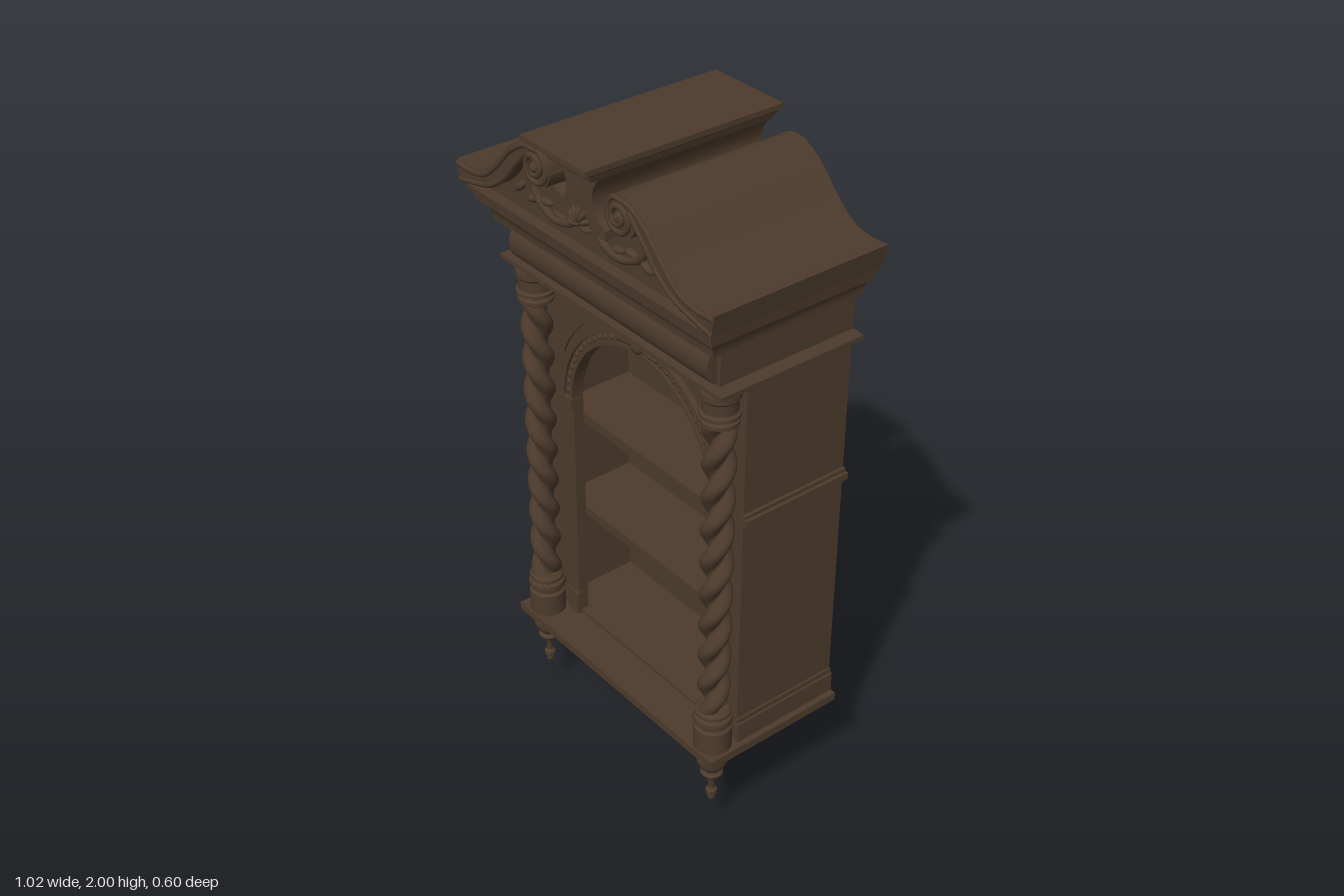
import * as THREE from 'three';
import { toCreasedNormals } from 'three/addons/utils/BufferGeometryUtils.js';

const BACK = -0.3;

export function createModel() {
  const group = new THREE.Group();
  const wood = new THREE.MeshStandardMaterial({ color: 0x4d3b2c, side: THREE.DoubleSide });
  wood.name = 'dark walnut';

  const add = (name, geo, x = 0, y = 0, z = 0) => {
    const m = new THREE.Mesh(geo, wood);
    m.name = name;
    m.position.set(x, y, z);
    group.add(m);
    return m;
  };
  // Box given by its limits on each axis
  const box = (name, x0, x1, y0, y1, z0, z1) =>
    add(name, new THREE.BoxGeometry(x1 - x0, y1 - y0, z1 - z0), (x0 + x1) / 2, (y0 + y1) / 2, (z0 + z1) / 2);
  const pair = (name, x0, x1, ...r) => { box(name, x0, x1, ...r); box(name, -x1, -x0, ...r); };
  const plate = (name, shape, z0, z1) => {
    const g = new THREE.ExtrudeGeometry(shape, { depth: z1 - z0, bevelEnabled: false, curveSegments: 32 });
    return add(name, toCreasedNormals(g, 0.6), 0, 0, z0);
  };
  const vecs = (pts, s = 1) => pts.map(([x, y]) => new THREE.Vector2(x * s, y));
  const lathe = (name, pts, x, z) =>
    add(name, toCreasedNormals(new THREE.LatheGeometry(vecs(pts), 24), 0.6), x, 0, z);
  const tube = (name, pts, r, n = 40) =>
    add(name, new THREE.TubeGeometry(new THREE.CatmullRomCurve3(pts.map(p => new THREE.Vector3(...p))), n, r, 8));
  const leaf = (name, x, y, z, sx, sy, sz, turn = 0) => {
    const m = add(name, new THREE.SphereGeometry(1, 12, 8), x, y, z);
    m.scale.set(sx, sy, sz);
    m.rotation.z = turn;
  };

  // Mitred moulding round the right, front and left sides; profile is [half width, y]
  const moulding = (name, profile, setback) => {
    const pos = [];
    const ring = ([w, y]) => [[-w, y, BACK], [-w, y, w - setback], [w, y, w - setback], [w, y, BACK]];
    for (let i = 0; i < profile.length - 1; i++) {
      const lo = ring(profile[i]), up = ring(profile[i + 1]);
      for (let s = 0; s < 3; s++) {
        pos.push(...lo[s], ...lo[s + 1], ...up[s + 1], ...lo[s], ...up[s + 1], ...up[s]);
      }
    }
    const g = new THREE.BufferGeometry();
    g.setAttribute('position', new THREE.Float32BufferAttribute(pos, 3));
    add(name, toCreasedNormals(g, 0.6));
  };

  // Hanging bracket and base board
  moulding('hangingBracket', [[0, 0.003], [0.03, 0.01], [0.05, 0.028], [0.085, 0.033], [0.095, 0.04], [0.085, 0.047],
    [0.05, 0.052], [0.045, 0.068], [0.07, 0.074], [0.1, 0.092], [0.125, 0.125], [0.145, 0.165], [0.175, 0.2],
    [0.22, 0.225], [0.22, 0.26], [0.26, 0.263], [0.272, 0.272], [0.26, 0.283], [0.235, 0.288], [0.235, 0.3]], 0.19);
  box('bracketPlate', -0.09, 0.09, 0.035, 0.045, BACK, -0.1);
  box('baseBoard', -0.44, 0.44, 0.3, 0.325, BACK, 0.155);

  // Cabinet case
  pair('sideWall', 0.39, 0.41, 0.325, 1.47, BACK, 0.03);
  box('backPanel', -0.395, 0.395, 0.325, 1.47, -0.235, -0.22);
  for (const y of [0.667, 0.984]) box('shelf', -0.39, 0.39, y, y + 0.028, -0.22, 0.01);
  pair('sideSkirting', 0.4, 0.422, 0.325, 0.385, BACK, 0.045);
  pair('sideSkirtingLip', 0.4, 0.416, 0.385, 0.4, BACK, 0.042);
  pair('sideBand', 0.4, 0.43, 1.055, 1.075, BACK, 0.045);
  pair('sideBandLip', 0.4, 0.42, 1.045, 1.085, BACK, 0.042);

  // Front with arched opening
  const front = new THREE.Shape(vecs([[-0.41, 0.325], [0.41, 0.325], [0.41, 1.47], [-0.41, 1.47]]));
  const opening = new THREE.Path();
  opening.moveTo(-0.29, 0.335);
  opening.lineTo(0.29, 0.335);
  opening.lineTo(0.29, 1.07);
  opening.absarc(0, 1.07, 0.29, 0, Math.PI, false);
  opening.lineTo(-0.29, 0.335);
  front.holes.push(opening);
  plate('archedFront', front, 0.015, 0.04);

  const arch = (name, r0, r1, z) => {
    const s = new THREE.Shape();
    s.absarc(0, 1.07, r1, 0, Math.PI, false);
    s.absarc(0, 1.07, r0, Math.PI, 0, true);
    plate(name, s, 0.03, z);
  };
  arch('archMoulding', 0.29, 0.337, 0.048);
  arch('archOuterRim', 0.323, 0.337, 0.056);
  arch('archInnerRim', 0.29, 0.3, 0.054);
  for (let i = 1; i < 34; i++) {
    const a = i * Math.PI / 34;
    leaf('archBead', 0.312 * Math.cos(a), 1.07 + 0.312 * Math.sin(a), 0.048, 0.008, 0.008, 0.006);
  }
  pair('pilaster', 0.29, 0.33, 0.4, 1.05, 0.03, 0.047);
  pair('pilasterBase', 0.288, 0.337, 0.325, 0.4, 0.03, 0.053);
  pair('impost', 0.286, 0.34, 1.05, 1.08, 0.03, 0.06);
  for (const s of [1, -1]) {
    // Spandrel plate beside the arch
    const sp = new THREE.Shape();
    sp.moveTo(s * 0.36, 1.2);
    sp.lineTo(s * 0.36, 1.4);
    sp.lineTo(s * 0.3, 1.445);
    sp.lineTo(s * 0.1, 1.445);
    for (let i = 0; i <= 10; i++) {
      const a = 1.28 - i * 0.088;
      sp.lineTo(s * 0.36 * Math.cos(a), 1.07 + 0.36 * Math.sin(a));
    }
    plate('spandrel', sp, 0.03, 0.046);
    leaf('keyLeaf', s * 0.045, 1.385, 0.05, 0.045, 0.012, 0.012, -s * 0.15);
  }
  leaf('keyBoss', 0, 1.388, 0.052, 0.022, 0.024, 0.016);

  // Twisted columns with turned pedestal, capital and drop
  const twist = (s) => {
    const h = 0.92, R = 0.027, c = 0.018;
    const g = new THREE.CylinderGeometry(1, 1, h, 28, 100, true);
    const p = g.attributes.position;
    for (let i = 0; i < p.count; i++) {
      const a = Math.atan2(p.getZ(i), p.getX(i)), f = a + s * Math.PI * p.getY(i) / 0.102;
      const r = c * Math.abs(Math.cos(f)) + Math.sqrt(R * R - (c * Math.sin(f)) ** 2);
      p.setXYZ(i, r * Math.cos(a), p.getY(i), r * Math.sin(a));
    }
    g.computeVertexNormals();
    return g;
  };
  for (const s of [1, -1]) {
    const x = s * 0.378, z = 0.098;
    add('twistedColumn', twist(s), x, 0.915, z);
    lathe('columnPedestal', [[0, 0.325], [0.053, 0.325], [0.053, 0.395], [0.045, 0.4], [0.045, 0.408], [0.053, 0.412],
      [0.055, 0.422], [0.053, 0.432], [0.044, 0.436], [0.05, 0.442], [0.05, 0.452], [0.042, 0.46], [0, 0.462]], x, z);
    lathe('columnCapital', [[0, 1.368], [0.042, 1.37], [0.05, 1.376], [0.05, 1.386], [0.043, 1.392], [0.053, 1.398],
      [0.053, 1.408], [0.046, 1.413], [0.047, 1.445], [0.053, 1.452], [0.053, 1.47], [0, 1.47]], x, z);
    lathe('turnedDrop', [[0, 0.12], [0.011, 0.122], [0.011, 0.135], [0.016, 0.14], [0.016, 0.152], [0.009, 0.158],
      [0.009, 0.175], [0.014, 0.2], [0.022, 0.213], [0.032, 0.22], [0.022, 0.228], [0.034, 0.243],
      [0.043, 0.262], [0.043, 0.275], [0.03, 0.28], [0.03, 0.3]], x, z);
  }

  // Entablature, open behind, with the deck as its floor
  box('deck', -0.425, 0.425, 1.468, 1.498, BACK, 0.135);
  moulding('lowerCornice', [[0.42, 1.465], [0.43, 1.473], [0.432, 1.482], [0.45, 1.486], [0.45, 1.499], [0.41, 1.502]], 0.293);
  moulding('frieze', [[0.413, 1.5], [0.413, 1.605]], 0.283);
  const cushion = add('friezeCushion', new THREE.CylinderGeometry(0.05, 0.05, 0.8, 24), 0, 1.553, 0.128);
  cushion.rotation.z = Math.PI / 2;
  cushion.scale.z = 0.65;
  moulding('upperCornice', [[0.413, 1.6], [0.43, 1.604], [0.44, 1.612], [0.44, 1.628], [0.447, 1.645], [0.462, 1.66],
    [0.473, 1.668], [0.475, 1.688], [0.486, 1.692], [0.488, 1.71], [0.42, 1.712]], 0.262);

  // Pediment board and central neck
  const mirrored = (pts) => new THREE.Shape([...vecs(pts), ...vecs(pts, -1).reverse()]);
  plate('tympanum', mirrored([[0.48, 1.7], [0.48, 1.735], [0.37, 1.75], [0.31, 1.79], [0.25, 1.855], [0.2, 1.88],
    [0.15, 1.83], [0.11, 1.812], [0.075, 1.82]]), 0.16, 0.195);
  plate('centralNeck', mirrored([[0.1, 1.79], [0.1, 1.813], [0.075, 1.828], [0.056, 1.85], [0.05, 1.88], [0.056, 1.908],
    [0.07, 1.93], [0.085, 1.945]]), BACK, 0.225);

  // Swan necks with scrolls
  const top = [[0.508, 1.775], [0.45, 1.773], [0.39, 1.787], [0.33, 1.835], [0.27, 1.897], [0.21, 1.934], [0.16, 1.938],
    [0.122, 1.915], [0.108, 1.88]];
  const under = [[0.124, 1.88], [0.15, 1.908], [0.2, 1.902], [0.25, 1.85], [0.31, 1.785], [0.37, 1.747], [0.43, 1.73], [0.498, 1.715]];
  for (const s of [1, -1]) {
    const neck = new THREE.Shape();
    neck.moveTo(s * top[0][0], top[0][1]);
    neck.splineThru(vecs(top.slice(1), s));
    neck.lineTo(s * under[0][0], under[0][1]);
    neck.splineThru(vecs(under.slice(1), s));
    plate('swanNeck', neck, BACK, 0.235);
    tube('neckUpperBead', top.slice(0, 7).map(([x, y]) => [s * (x - 0.004), y - 0.01, 0.234]), 0.008);
    tube('neckLowerBead', under.slice(2).map(([x, y]) => [s * x, y + 0.006, 0.232]), 0.008);
    const disc = add('scroll', new THREE.CylinderGeometry(0.055, 0.055, 0.09, 28), s * 0.165, 1.881, 0.185);
    disc.rotation.x = Math.PI / 2;
    const spiral = [];
    for (let i = 0; i <= 36; i++) {
      const a = 1.6 + i * 0.33, r = 0.05 - i * 0.0011;
      spiral.push([s * (0.165 + r * Math.cos(a)), 1.881 + r * Math.sin(a), 0.232 + i * 0.0002]);
    }
    tube('volute', spiral, 0.008, 90);
    leaf('voluteEye', s * 0.165, 1.881, 0.234, 0.014, 0.014, 0.014);
    // Carved garland
    tube('garland', [[s * 0.03, 1.785, 0.2], [s * 0.08, 1.755, 0.205], [s * 0.14, 1.75, 0.205], [s * 0.2, 1.775, 0.2], [s * 0.23, 1.82, 0.2]], 0.011);
    for (let i = 0; i < 5; i++) {
      leaf('garlandLeaf', s * (0.06 + i * 0.055), 1.775 - 0.012 * (i % 2), 0.198, 0.026, 0.011, 0.012, s * (0.5 - i * 0.3));
    }
  }
  for (let i = 0; i < 7; i++) {
    const a = i * Math.PI / 6;
    leaf('shellLobe', 0.026 * Math.cos(a), 1.79 + 0.03 * Math.sin(a), 0.225, 0.022, 0.008, 0.012, a);
  }

  // Moulded cap on the neck
  moulding('capMoulding', [[0.06, 1.938], [0.085, 1.942], [0.088, 1.953], [0.098, 1.958], [0.1, 1.966], [0.114, 1.976],
    [0.12, 1.982], [0.127, 1.985], [0.127, 2]], -0.168);
  box('capCore', -0.08, 0.08, 1.94, 1.99, BACK, 0.23);
  box('capTop', -0.127, 0.127, 1.985, 2, BACK, 0.3);
  return group;
}
